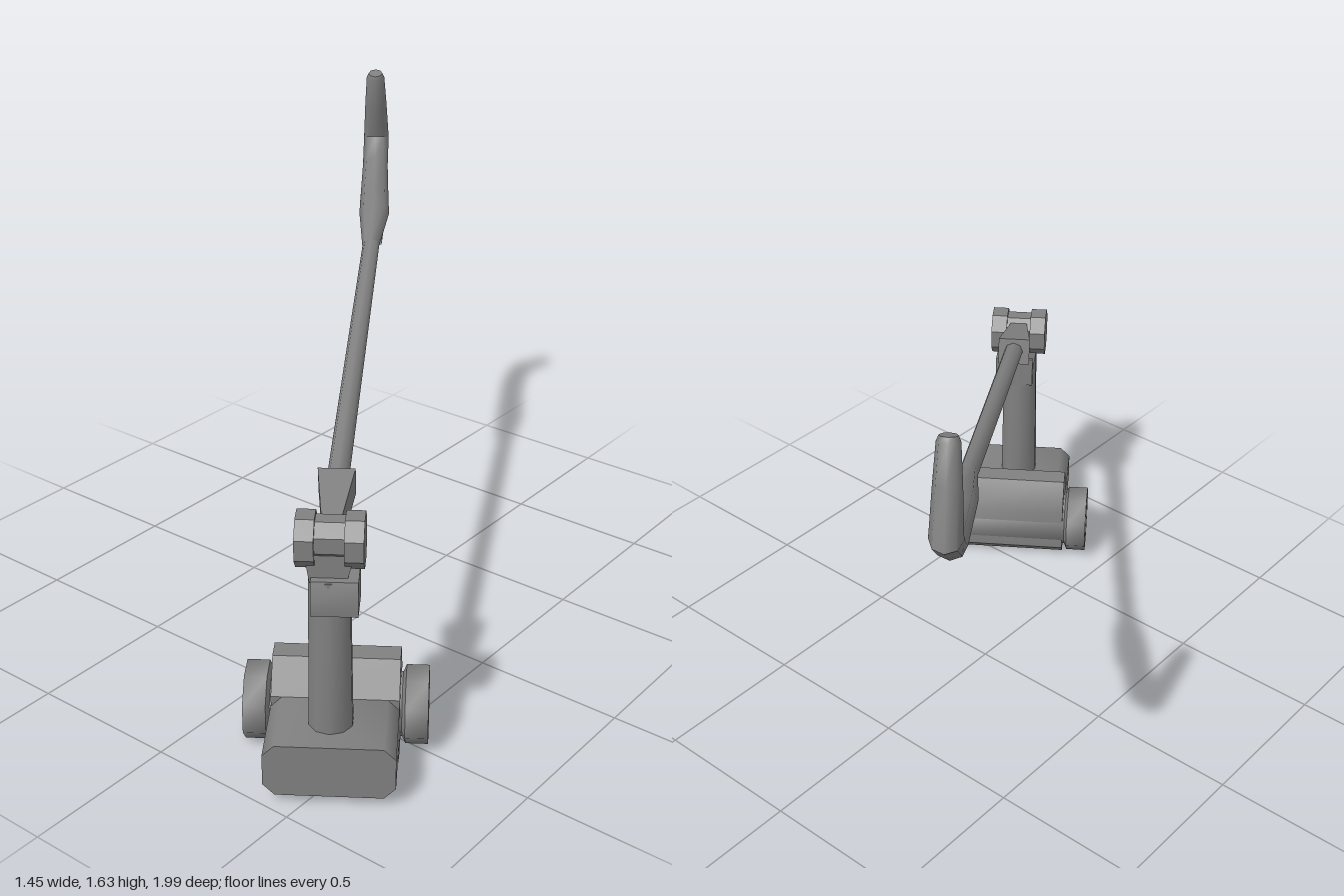
import * as THREE from 'three';
import { toCreasedNormals } from 'three/addons/utils/BufferGeometryUtils.js';

const darkGrey = new THREE.MeshStandardMaterial({ color: 0x808080 });
const MID = -0.037; // centre plane of the base

function add(parent, name, geometry, crease = 0.6) {
  const mesh = new THREE.Mesh(toCreasedNormals(geometry, crease), darkGrey);
  mesh.name = name;
  parent.add(mesh);
}

function polygon(points) {
  return new THREE.Shape(points.map(([x, y]) => new THREE.Vector2(x, y)));
}

// Extrude a (z, y) profile sideways from x0 to x1
function sideExtrude(shape, x0, x1) {
  const g = new THREE.ExtrudeGeometry(shape, { depth: x1 - x0, bevelEnabled: false });
  return g.rotateY(-Math.PI / 2).translate(x1, 0, 0);
}

// Octagonal drum lying along x
function drum(r, width, x, y, z) {
  return new THREE.CylinderGeometry(r, r, width, 8).rotateY(Math.PI / 8)
    .rotateZ(Math.PI / 2).translate(x, y, z);
}

// Loft elliptical rings along a path; each station is [x, y, z, side radius, upright radius]
function loft(stations, sides = 8) {
  const p = stations.map((s) => new THREE.Vector3(s[0], s[1], s[2]));
  const pos = [], idx = [], last = p.length - 1;
  p.forEach((c, i) => {
    const t = new THREE.Vector3();
    if (i > 0) t.add(c.clone().sub(p[i - 1]).normalize());
    if (i < last) t.add(p[i + 1].clone().sub(c).normalize());
    t.normalize();
    const side = new THREE.Vector3(1, 0, 0).addScaledVector(t, -t.x).normalize();
    const up = new THREE.Vector3().crossVectors(t, side);
    for (let k = 0; k < sides; k++) {
      const a = (k / sides) * Math.PI * 2;
      const v = c.clone().addScaledVector(side, Math.cos(a) * stations[i][3])
        .addScaledVector(up, Math.sin(a) * stations[i][4]);
      pos.push(v.x, v.y, v.z);
    }
  });
  for (let i = 0; i < last; i++) {
    for (let k = 0; k < sides; k++) {
      const a = i * sides + k, b = i * sides + (k + 1) % sides;
      idx.push(a, b, b + sides, a, b + sides, a + sides);
    }
  }
  for (let k = 1; k < sides - 1; k++) {
    idx.push(0, k + 1, k);
    idx.push(last * sides, last * sides + k, last * sides + k + 1);
  }
  const g = new THREE.BufferGeometry();
  g.setAttribute('position', new THREE.Float32BufferAttribute(pos, 3));
  g.setIndex(idx);
  return g;
}

function buildBase(parent) {
  const base = new THREE.Group();
  base.name = 'base';
  parent.add(base);

  // Humped block with a bore for the cross tube
  const block = polygon([[0.6, 0.04], [0.64, 0], [0.8, 0], [0.88, 0.035], [0.8, 0.06], [0.8, 0.2],
    [0.73, 0.3], [0.66, 0.3], [0.6, 0.2]]);
  const bore = new THREE.Path();
  for (let k = 0; k <= 8; k++) {
    const a = (k + 0.5) * Math.PI / 4;
    const x = 0.692 + 0.082 * Math.cos(a), y = 0.115 + 0.082 * Math.sin(a);
    k ? bore.lineTo(x, y) : bore.moveTo(x, y);
  }
  block.holes.push(bore);
  add(base, 'baseBlock', sideExtrude(block, -0.23, 0.157));

  // Flat front slab with chamfered long edges
  const w = 0.194, h = 0.085, c = 0.035;
  const slab = polygon([[-w + c, -h], [w - c, -h], [w, -h + c], [w, h - c],
    [w - c, h], [-w + c, h], [-w, h - c], [-w, -h + c]]);
  const slabGeometry = new THREE.ExtrudeGeometry(slab, { depth: 0.26, bevelEnabled: false });
  add(base, 'frontSlab', slabGeometry.translate(MID, 0.115, 0.785), 0.9);

  // Open cross tube with a flanged collar at each end
  const profile = [[0.085, -0.28], [0.122, -0.28], [0.122, -0.21], [0.1, -0.2],
    [0.1, 0.2], [0.122, 0.21], [0.122, 0.28], [0.085, 0.28], [0.08, 0.2], [0.08, -0.2], [0.085, -0.28]];
  const tube = new THREE.LatheGeometry(profile.map(([r, y]) => new THREE.Vector2(r, y)), 8, Math.PI / 8);
  tube.deleteAttribute('normal');
  add(base, 'crossTube', tube.rotateZ(Math.PI / 2).translate(MID, 0.115, 0.692), 0.9);
}

function buildPost(parent) {
  const post = new THREE.Group();
  post.name = 'post';
  parent.add(post);
  add(post, 'postColumn', new THREE.CylinderGeometry(0.062, 0.068, 0.52, 10).translate(-0.04, 0.44, 0.912), 0.9);

  // Collar wrapped around the column, its top sloping down to the front
  const collar = polygon([[0.852, 0.6], [0.98, 0.6], [0.985, 0.65], [0.968, 0.705], [0.852, 0.71]]);
  add(post, 'postCollar', sideExtrude(collar, -0.09, 0.045));

  // Tapered neck up to the hinge
  const neck = polygon([[-0.095, 0.69], [0.01, 0.69], [0.035, 0.79], [-0.11, 0.79]]);
  add(post, 'hingeNeck', new THREE.ExtrudeGeometry(neck, { depth: 0.085, bevelEnabled: false }).translate(0, 0, 0.862));

  // Outer hinge discs and the barrel between them
  for (const s of [-1, 1]) {
    add(post, 'hingeDisc', drum(0.082, 0.055, MID + s * 0.07, 0.805, 0.9));
  }
  add(post, 'hingeBarrel', drum(0.063, 0.1, MID, 0.812, 0.9));
}

function buildLever(parent) {
  const lever = new THREE.Group();
  lever.name = 'lever';
  parent.add(lever);

  // Wedge socket, widening from the hinge to the rod
  const socket = new THREE.BoxGeometry(1, 0.092, 0.24);
  const p = socket.attributes.position;
  for (let i = 0; i < p.count; i++) p.setX(i, p.getX(i) * (p.getZ(i) < 0 ? 0.11 : 0.05));
  add(lever, 'rodSocket', socket.rotateX(0.23).translate(MID, 0.831, 0.768));

  add(lever, 'rod', loft([
    [-0.037, 0.843, 0.72, 0.033, 0.031], [-0.005, 1.148, -0.58, 0.029, 0.029],
  ]), 0.9);

  // Swollen grip that bends up into a tapering hook
  add(lever, 'hookedGrip', loft([
    [-0.006, 1.143, -0.56, 0.029, 0.029], [-0.004, 1.196, -0.76, 0.053, 0.05],
    [-0.008, 1.217, -0.84, 0.051, 0.047], [-0.017, 1.275, -1.075, 0.046, 0.043],
    [-0.018, 1.36, -1.168, 0.046, 0.05], [-0.018, 1.5, -1.124, 0.039, 0.041],
    [-0.018, 1.605, -1.092, 0.032, 0.032], [-0.018, 1.62, -1.087, 0.025, 0.025],
  ]), 0.9);

  // Raised pad under the grip
  const pad = polygon([[-0.6, 1.135], [-0.72, 1.138], [-0.85, 1.165], [-0.85, 1.2], [-0.7, 1.18]]);
  add(lever, 'gripPad', sideExtrude(pad, -0.037, 0.03));
}

export function createModel() {
  const model = new THREE.Group();
  model.name = 'hingedLever';
  const body = new THREE.Group();
  body.name = 'body';
  buildBase(body);
  buildPost(body);
  buildLever(body);
  body.rotation.y = 0.603; // the whole piece stands diagonally
  model.add(body);
  return model;
}
